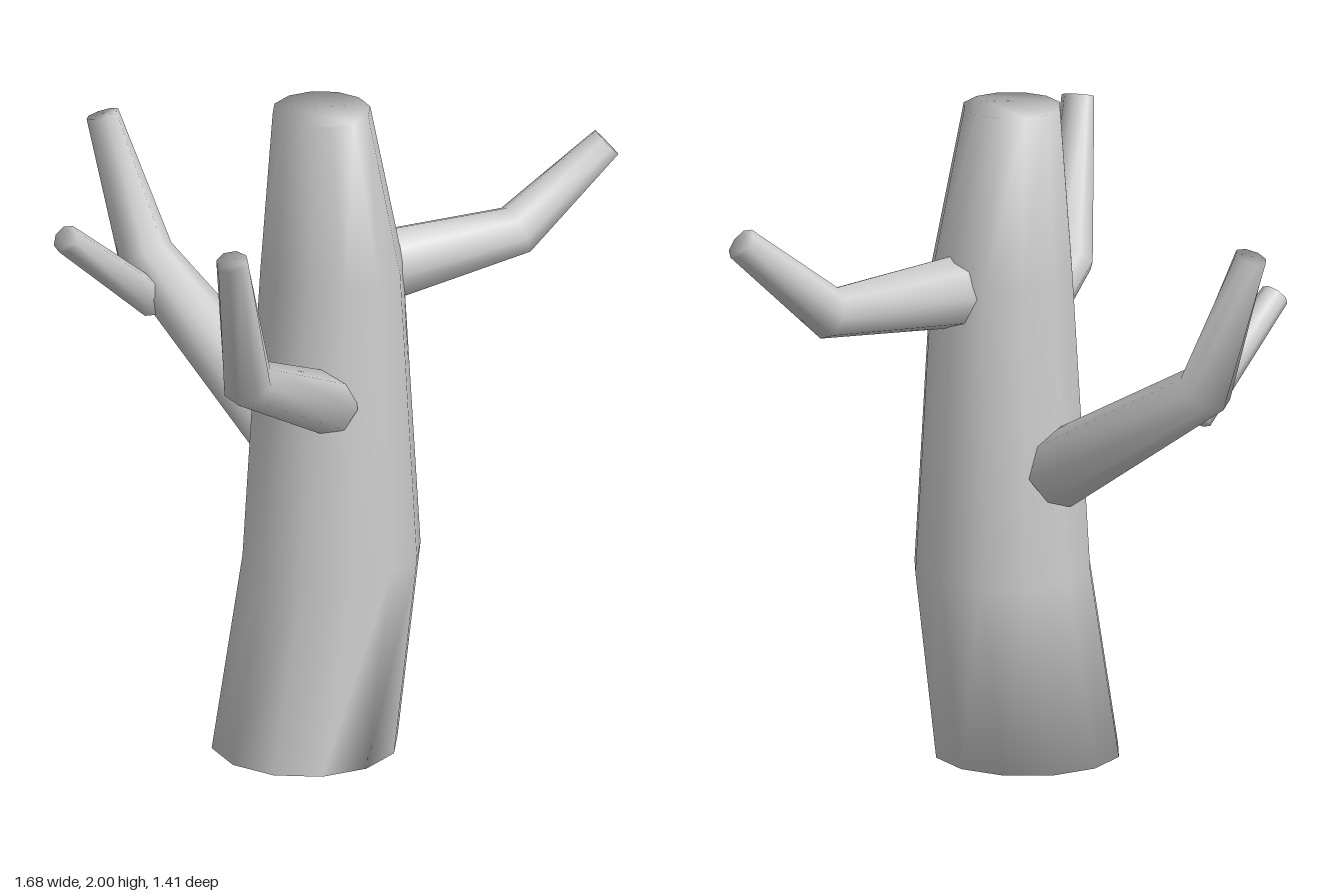
import * as THREE from 'three';

const material = new THREE.MeshStandardMaterial({ color: 0xcccccc });

// Smooth closed limb lofted through rings [x, y, z, radius]; level keeps every ring horizontal
function limb(name, rings, sides, level = false) {
  const points = rings.map(([x, y, z]) => new THREE.Vector3(x, y, z));
  const positions = [];
  const index = [];
  const up = new THREE.Vector3(0, 1, 0);
  const last = rings.length - 1;

  points.forEach((p, i) => {
    const dir = up.clone();
    if (!level) {
      // average of the two unit directions meeting at this ring
      dir.set(0, 0, 0);
      if (i > 0) dir.add(p.clone().sub(points[i - 1]).normalize());
      if (i < last) dir.add(points[i + 1].clone().sub(p).normalize());
      dir.normalize();
    }
    const u = level ? new THREE.Vector3(0, 0, 1) : up.clone().cross(dir).normalize();
    const v = dir.clone().cross(u);
    for (let s = 0; s < sides; s++) {
      const a = (s / sides) * Math.PI * 2;
      const q = p.clone()
        .addScaledVector(u, Math.cos(a) * rings[i][3])
        .addScaledVector(v, Math.sin(a) * rings[i][3]);
      positions.push(q.x, q.y, q.z);
    }
  });

  // side walls
  for (let i = 0; i < last; i++) {
    for (let s = 0; s < sides; s++) {
      const a = i * sides + s;
      const b = i * sides + ((s + 1) % sides);
      index.push(a, b, b + sides, a, b + sides, a + sides);
    }
  }
  // end caps, sharing the rim vertices for a soft edge
  const top = last * sides;
  for (let s = 1; s < sides - 1; s++) {
    index.push(0, s + 1, s, top, top + s, top + s + 1);
  }

  const geometry = new THREE.BufferGeometry();
  geometry.setAttribute('position', new THREE.Float32BufferAttribute(positions, 3));
  geometry.setIndex(index);
  geometry.computeVertexNormals();
  const mesh = new THREE.Mesh(geometry, material);
  mesh.name = name;
  return mesh;
}

export function createModel() {
  const tree = new THREE.Group();
  tree.name = 'bareTree';

  // leaning, tapering trunk
  tree.add(limb('trunk', [
    [-0.19, 0, 0.28, 0.28],
    [-0.085, 0.59, 0.28, 0.268],
    [-0.095, 1.5, 0.292, 0.215],
    [-0.12, 2, 0.275, 0.147],
  ], 12, true));

  // three bent branches
  tree.add(limb('leftBranch', [
    [0.04, 1.46, 0.31, 0.115],
    [0.54, 1.475, 0.39, 0.08],
    [0.8, 1.72, 0.5, 0.052],
  ], 8));
  tree.add(limb('rightBranch', [
    [-0.21, 1.13, 0.42, 0.095],
    [-0.655, 1.36, 0.56, 0.078],
    [-0.8, 1.815, 0.66, 0.049],
  ], 8));
  tree.add(limb('backBranch', [
    [-0.09, 0.92, 0.07, 0.115],
    [-0.12, 1.285, -0.52, 0.085],
    [-0.17, 1.71, -0.66, 0.05],
  ], 8));

  // small twig on the back branch
  tree.add(limb('twig', [
    [-0.16, 1.18, -0.44, 0.054],
    [-0.515, 1.475, -0.425, 0.044],
  ], 8));

  return tree;
}
